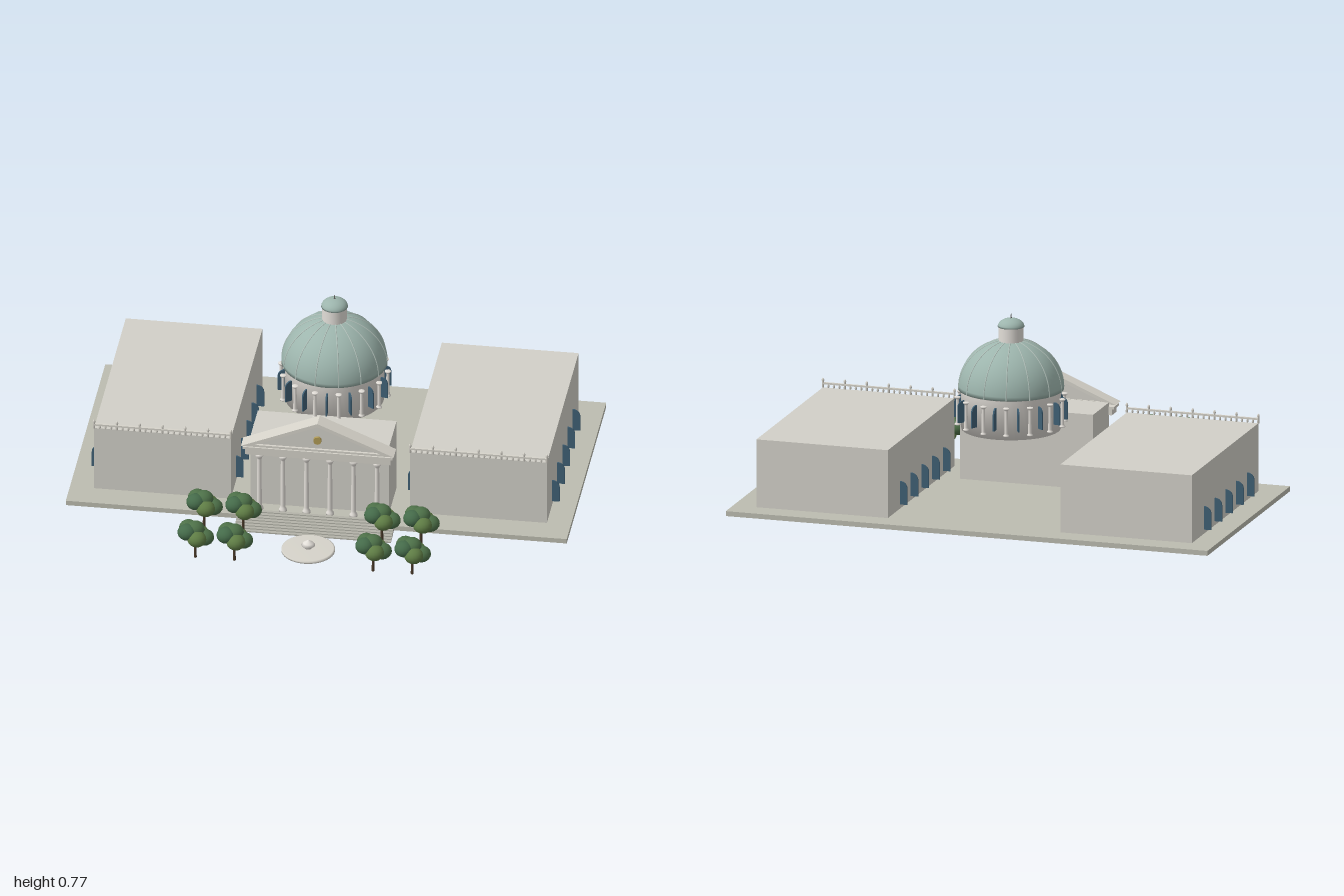
import * as THREE from 'three';

const mat = (color, side = THREE.FrontSide) => new THREE.MeshStandardMaterial({ color, side });
const M = {
  base: mat(0xbcbcb0), wall: mat(0xd2d0c8), trim: mat(0xd6d3ca), white: mat(0xe2ded8),
  copper: mat(0x9db5ad), rib: mat(0xb4c4bd), glass: mat(0x3f6075), gold: mat(0xb09a55),
  bark: mat(0x4a3a2a), metal: mat(0x6a6a66), stair: mat(0xb4b3a9),
  leaves: [mat(0x4d7048), mat(0x5f7d45), mat(0x456b4a)],
};

function add(parent, name, geo, material, x = 0, y = 0, z = 0) {
  const m = new THREE.Mesh(geo, material);
  m.name = name;
  m.position.set(x, y, z);
  parent.add(m);
  return m;
}

// box given by its extents
function block(parent, name, material, x0, x1, y0, y1, z0, z1) {
  return add(parent, name, new THREE.BoxGeometry(x1 - x0, y1 - y0, z1 - z0), material,
    (x0 + x1) / 2, (y0 + y1) / 2, (z0 + z1) / 2);
}

const lathe = (pts, seg = 24) =>
  new THREE.LatheGeometry(pts.map(([r, y]) => new THREE.Vector2(r, y)), seg);

// round column with base and capital, standing on y = 0
const columnGeo = (r, h) => lathe([[0, 0], [r * 1.6, 0], [r * 1.6, h * 0.03], [r * 1.1, h * 0.06],
  [r, h * 0.1], [r * 0.85, h * 0.9], [r * 1.1, h * 0.93], [r * 1.6, h * 0.96], [r * 1.6, h], [0, h]], 12);

// thin arched window pane, standing on y = 0
function archGeo(w, h, d) {
  const s = new THREE.Shape();
  s.moveTo(-w / 2, 0);
  s.lineTo(w / 2, 0);
  s.lineTo(w / 2, h - w / 2);
  s.absarc(0, h - w / 2, w / 2, 0, Math.PI, false);
  s.closePath();
  return new THREE.ExtrudeGeometry(s, { depth: d, bevelEnabled: false, curveSegments: 8 }).translate(0, 0, -d / 2);
}

function wing(side) {
  const g = new THREE.Group();
  g.name = side > 0 ? 'leftWing' : 'rightWing';
  const cx = 0.631 * side, half = 0.273;
  block(g, 'wingBlock', M.wall, cx - half, cx + half, 0.02, 0.297, -0.637, 0.213);
  // arched fins straddling both side walls
  const pane = archGeo(0.06, 0.095, 0.006);
  for (const x of [cx - half, cx + half])
    for (let i = 0; i < 5; i++) add(g, 'wingWindow', pane, M.glass, x, 0.037, 0.07 - i * 0.1375);
  // front balustrade
  block(g, 'balustradeRail', M.trim, cx - half, cx + half, 0.311, 0.318, 0.208, 0.218);
  const baluster = lathe([[0.003, 0], [0.005, 0.006], [0.003, 0.014]], 8);
  const finial = lathe([[0, 0], [0.005, 0], [0.004, 0.024], [0.006, 0.03], [0.004, 0.036], [0, 0.04]], 8);
  for (let i = 0; i <= 24; i++) {
    const post = i % 4 === 0;
    add(g, post ? 'balustradePost' : 'baluster', post ? finial : baluster, M.trim,
      cx - half + (i / 24) * half * 2, 0.297, 0.213);
  }
  return g;
}

function portico() {
  const g = new THREE.Group();
  g.name = 'portico';
  block(g, 'entranceHall', M.wall, -0.277, 0.277, 0.02, 0.326, 0.032, 0.231);
  const col = columnGeo(0.01, 0.255);
  for (let i = 0; i < 6; i++) add(g, 'porticoColumn', col, M.white, -0.235 + i * 0.094, 0.02, 0.272);
  block(g, 'entablature', M.trim, -0.29, 0.29, 0.275, 0.301, 0.23, 0.287);
  block(g, 'cornice', M.trim, -0.3, 0.3, 0.301, 0.311, 0.225, 0.292);
  // pediment: recessed triangular field inside a raking frame
  const tri = (w, y0, y1) => {
    const s = new THREE.Shape();
    s.moveTo(-w, y0);
    s.lineTo(w, y0);
    s.lineTo(0, y1);
    s.closePath();
    return s;
  };
  const frame = tri(0.305, 0.318, 0.445);
  frame.holes.push(tri(0.25, 0.327, 0.43));
  const ext = (s, d) => new THREE.ExtrudeGeometry(s, { depth: d, bevelEnabled: false });
  add(g, 'pedimentFrame', ext(frame, 0.066), M.trim, 0, 0, 0.231);
  add(g, 'pedimentField', ext(tri(0.26, 0.324, 0.435), 0.05), M.wall, 0, 0, 0.237);
  const medal = add(g, 'medallion', new THREE.CylinderGeometry(0.016, 0.016, 0.012, 20), M.gold, 0, 0.367, 0.293);
  medal.rotation.x = Math.PI / 2;
  // broad front stairs
  const n = 8;
  for (let i = 0; i < n; i++) {
    const z = 0.427 - i * 0.0145, y = 0.004 + i * 0.0045;
    block(g, 'stairStep', M.stair, -0.313, 0.313, y * 0.4, y + 0.003, z - 0.0145, z);
  }
  return g;
}

function rotunda() {
  const g = new THREE.Group();
  g.name = 'rotunda';
  g.position.z = -0.165;
  add(g, 'drum', lathe([[0, 0.3], [0.197, 0.3], [0.197, 0.46], [0.207, 0.46], [0.207, 0.466], [0, 0.466]], 48), M.white);
  const R = 0.21, H = 0.2, Y = 0.462, n = 14;
  const arc = (r, h, k) => [r * Math.cos(k * Math.PI / 2), h * Math.sin(k * Math.PI / 2)];
  const domePts = [[0, 0]];
  for (let i = 0; i <= 20; i++) domePts.push(arc(R, H, i / 20));
  add(g, 'dome', lathe(domePts, 56), M.copper, 0, Y);
  // ribs, columns and window fins share one ring
  const ribPts = [];
  for (let i = 0; i <= 10; i++) {
    const [r, y] = arc(R, H, i / 10.8);
    ribPts.push(new THREE.Vector3(r, y, 0));
  }
  const rib = new THREE.TubeGeometry(new THREE.CatmullRomCurve3(ribPts), 24, 0.0025, 6);
  const col = columnGeo(0.0075, 0.115), pane = archGeo(0.05, 0.09, 0.006);
  for (let i = 0; i < n; i++) {
    const a = (i / n) * Math.PI * 2, b = a + Math.PI / n;
    add(g, 'domeRib', rib, M.rib, 0, Y).rotation.y = a;
    add(g, 'drumColumn', col, M.white, 0.213 * Math.cos(a), 0.32, 0.213 * Math.sin(a));
    add(g, 'drumWindow', pane, M.glass, 0.2 * Math.cos(b), 0.34, 0.2 * Math.sin(b)).rotation.y = -b;
  }
  // lantern, cap and spire
  add(g, 'lantern', new THREE.CylinderGeometry(0.049, 0.049, 0.062, 28), M.white, 0, 0.686);
  const capPts = [[0, 0]];
  for (let i = 0; i <= 8; i++) capPts.push(arc(0.053, 0.034, i / 8));
  add(g, 'lanternCap', lathe(capPts, 28), M.copper, 0, 0.714);
  add(g, 'spire', new THREE.ConeGeometry(0.004, 0.028, 8), M.metal, 0, 0.758);
  return g;
}

function fountain() {
  const g = new THREE.Group();
  g.name = 'fountain';
  g.position.z = 0.54;
  add(g, 'basin', lathe([[0, 0.004], [0.095, 0.004], [0.106, 0.009], [0.106, 0.016], [0.1, 0.019], [0, 0.019]], 40), M.trim);
  add(g, 'fountainJet', lathe([[0.012, 0.018], [0.028, 0.033], [0.02, 0.043], [0, 0.057]], 16), M.white);
  return g;
}

function tree(x, z) {
  const g = new THREE.Group();
  g.name = 'tree';
  g.position.set(x, 0, z);
  add(g, 'trunk', new THREE.CylinderGeometry(0.004, 0.006, 0.09, 8), M.bark, 0, 0.055);
  const blob = new THREE.SphereGeometry(0.038, 16, 10);
  const heights = [0.105, 0.115, 0.135, 0.13, 0.1];
  heights.forEach((y, i) => {
    const a = (i / 5) * Math.PI * 2;
    add(g, 'foliage', blob, M.leaves[i % 3], 0.037 * Math.cos(a), y, 0.037 * Math.sin(a)).scale.y = 0.85;
  });
  add(g, 'foliage', blob, M.leaves[0], 0, 0.14, 0).scale.y = 0.85;
  return g;
}

export function createModel() {
  const model = new THREE.Group();
  model.name = 'domedBuilding';
  block(model, 'terrace', M.base, -1, 1, 0, 0.02, -0.733, 0.325);
  model.add(wing(1), wing(-1), portico(), rotunda(), fountain());
  for (const x of [-0.433, -0.277, 0.277, 0.433])
    for (const z of [0.424, 0.66]) model.add(tree(x, z));
  return model;
}
